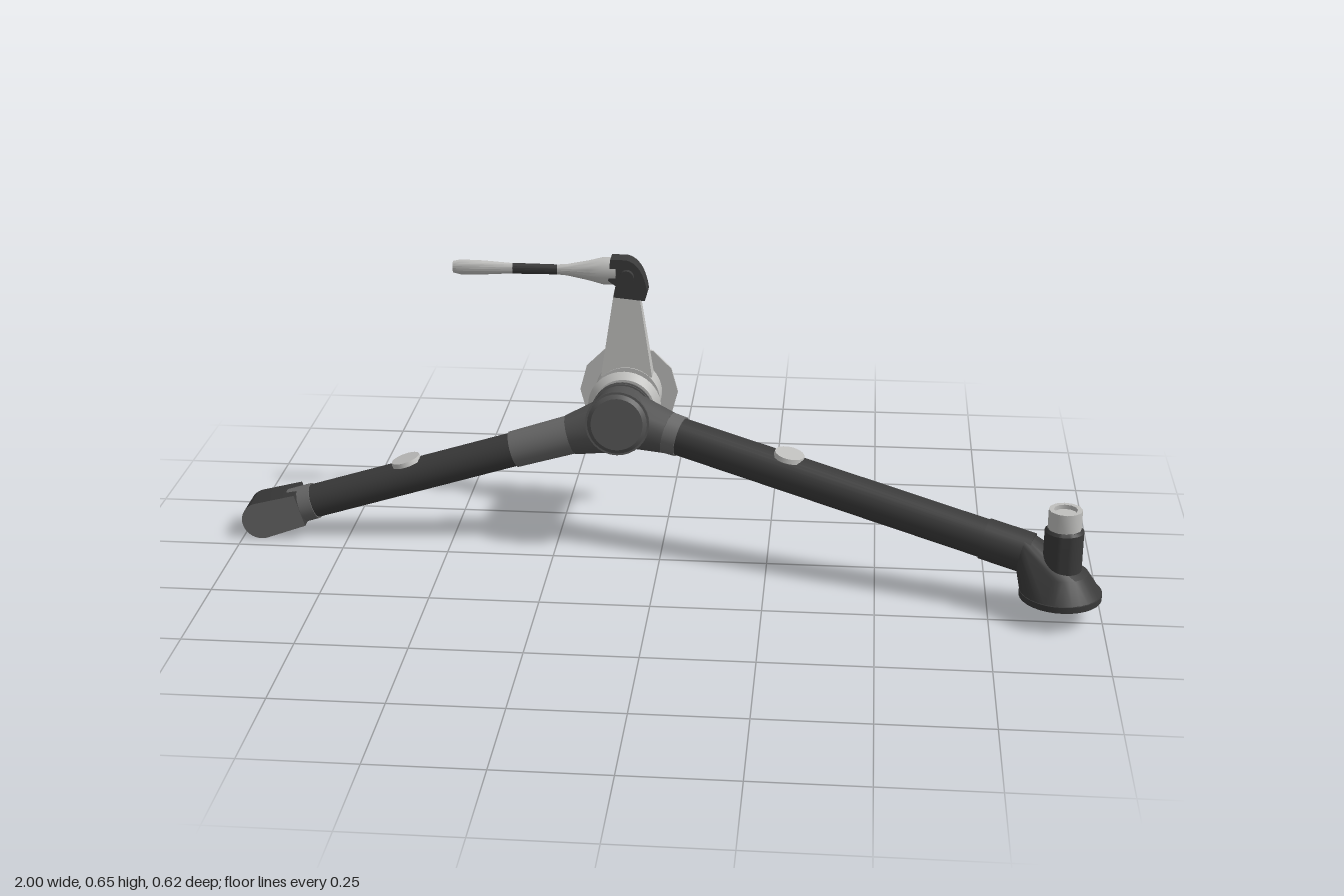
import * as THREE from 'three';
import { toCreasedNormals } from 'three/addons/utils/BufferGeometryUtils.js';
import { ConvexGeometry } from 'three/addons/geometries/ConvexGeometry.js';

const V = (x, y, z) => new THREE.Vector3(x, y, z);
const UP = V(0, 1, 0);

function makeMaterial(name, color) {
  const m = new THREE.MeshStandardMaterial({ color });
  m.name = name;
  return m;
}

export function createModel() {
  const model = new THREE.Group();
  const dark = makeMaterial('charcoal', 0x3a3a3a);
  const graphite = makeMaterial('graphite', 0x525252);
  const mid = makeMaterial('midGrey', 0x686868);
  const light = makeMaterial('lightGrey', 0xc0c0be);

  function add(name, geometry, material, parent = model) {
    const mesh = new THREE.Mesh(geometry, material);
    mesh.name = name;
    parent.add(mesh);
    return mesh;
  }
  // Cylinder or cone running from point a to point b
  function rod(name, a, b, ra, rb, material, sides = 32) {
    const mesh = add(name, new THREE.CylinderGeometry(rb, ra, a.distanceTo(b), sides), material);
    mesh.position.copy(a).lerp(b, 0.5);
    mesh.quaternion.setFromUnitVectors(UP, b.clone().sub(a).normalize());
    return mesh;
  }
  // Turned part with crisp edges, profile given as [radius, height]
  function turned(name, profile, material, sides = 32) {
    const points = profile.map(([r, y]) => new THREE.Vector2(r, y));
    return add(name, toCreasedNormals(new THREE.LatheGeometry(points, sides), 0.6), material);
  }

  // Hub: short drum tilted upward at the front
  const hubFront = V(-0.1, 0.332, -0.012), hubBack = V(-0.1, 0.309, -0.146);
  const hubAxis = hubBack.clone().sub(hubFront).normalize();
  const hubAt = t => hubFront.clone().lerp(hubBack, t);
  const drum = turned('hubDrum', [[0, 0], [0.06, 0], [0.069, 0.008], [0.071, 0.136], [0, 0.136]], graphite);
  drum.position.copy(hubFront);
  drum.quaternion.setFromUnitVectors(UP, hubAxis);
  [[0.08, 0.16], [0.8, 0.87], [0.93, 1]].forEach(([a, b]) =>
    rod('hubRim', hubAt(a), hubAt(b), 0.074, 0.074, graphite));

  // Left-hand and right-hand arm axes
  const rA = V(-0.1, 0.311, -0.085), rB = V(-0.955, 0.047, -0.082);
  const lA = V(-0.09, 0.317, -0.095), lB = V(0.86, 0.127, 0.18);
  const onArm = (a, b, x) => a.clone().lerp(b, (x - a.x) / (b.x - a.x));
  const right = x => onArm(rA, rB, x), left = x => onArm(lA, lB, x);

  rod('rightHubBoss', right(-0.12), right(-0.215), 0.068, 0.048, graphite, 12);
  rod('rightCollar', right(-0.2), right(-0.35), 0.046, 0.043, mid);
  rod('rightTube', right(-0.34), right(-0.88), 0.04, 0.04, dark);
  rod('rightEndCollar', right(-0.83), right(-0.885), 0.043, 0.043, mid);
  rod('leftHubBoss', left(-0.08), left(0.015), 0.068, 0.05, graphite, 12);
  rod('leftCollar', left(0), left(0.045), 0.049, 0.047, mid);
  rod('leftTube', left(0.03), left(0.8), 0.044, 0.044, dark);
  rod('leftEndCollar', left(0.74), left(0.84), 0.047, 0.047, dark);

  // Round buttons on top of the arms
  [[right(-0.595), rB.clone().sub(rA), 0.041], [left(0.29), lB.clone().sub(lA), 0.043]].forEach(([p, d, lift]) => {
    d.normalize();
    const n = UP.clone().addScaledVector(d, -d.y).normalize();
    const c = p.addScaledVector(n, lift);
    rod('armButton', c.clone().addScaledVector(n, -0.006), c.clone().addScaledVector(n, 0.005), 0.036, 0.034, light, 24);
  });

  // Right arm tip: rounded block with dark rim and grey cheeks
  const tip = new THREE.Shape();
  tip.moveTo(0.1, -0.04);
  tip.lineTo(0.1, 0.04);
  tip.lineTo(0, 0.045);
  tip.absarc(0, 0, 0.045, Math.PI / 2, Math.PI * 1.5, false);
  const tipGeometry = new THREE.ExtrudeGeometry(tip, { depth: 0.088, bevelEnabled: false, curveSegments: 16 });
  tipGeometry.translate(0, 0, -0.044);
  const tipMesh = add('rightArmTip', toCreasedNormals(tipGeometry, 0.6), [mid, dark]);
  tipMesh.position.copy(rB);
  tipMesh.rotation.z = Math.atan2(rA.y - rB.y, rA.x - rB.x);

  // Left foot: hollow rim, sloping shroud and upright post
  const foot = V(0.907, 0, 0.22);
  const rim = turned('footRim', [[0.078, 0.066], [0.078, 0.052], [0.091, 0.052], [0.091, 0.066], [0.085, 0.067]], dark);
  rim.position.copy(foot);
  const hull = [];
  const armDir = lB.clone().sub(lA).normalize();
  const side = V(0, 1, 0).cross(armDir).normalize(), over = armDir.clone().cross(side);
  for (let i = 0; i < 28; i++) {
    const a = i / 28 * Math.PI * 2, c = Math.cos(a), s = Math.sin(a);
    hull.push(V(foot.x + 0.09 * c, 0.064, foot.z + 0.09 * s));
    hull.push(V(foot.x + 0.058 * c, 0.112, foot.z + 0.058 * s));
    hull.push(left(0.825).addScaledVector(side, 0.047 * c).addScaledVector(over, 0.047 * s));
  }
  add('footShroud', toCreasedNormals(new ConvexGeometry(hull), 0.5), dark);
  const post = turned('footPost', [[0.043, 0.07], [0.043, 0.21], [0.038, 0.216], [0, 0.216]], dark);
  post.position.copy(foot);
  const cap = turned('postCap', [[0.037, 0.214], [0.037, 0.26], [0.026, 0.26], [0.026, 0.25], [0, 0.25]], light, 12);
  cap.position.copy(foot);

  // Rear coupling: neck, cone flange, hollow sleeve and end flange
  const coupling = new THREE.Group();
  coupling.name = 'rearCoupling';
  coupling.position.set(-0.1, 0.308, 0);
  coupling.rotation.x = -Math.PI / 2;
  model.add(coupling);
  coupling.add(turned('couplingBody', [
    [0.058, 0.125], [0.063, 0.176], [0.073, 0.176], [0.087, 0.194], [0.068, 0.197], [0.067, 0.24],
    [0.08, 0.24], [0.08, 0.3], [0.074, 0.305], [0.062, 0.285], [0.062, 0.215], [0, 0.215]], light, 40));
  coupling.add(turned('endFlange', [
    [0.074, 0.3], [0.118, 0.3], [0.118, 0.307], [0.074, 0.307], [0.074, 0.3]], light, 12));
  const bar = add('crossBar', new THREE.BoxGeometry(0.13, 0.03, 0.022), light, coupling);
  bar.position.y = 0.255;

  // Lever arm: tapered upright
  const upright = new THREE.BoxGeometry(1, 1, 1);
  const pos = upright.attributes.position;
  for (let i = 0; i < pos.count; i++) {
    const top = pos.getY(i) > 0;
    pos.setXYZ(i, pos.getX(i) * (top ? 0.058 : 0.122), top ? 0.575 : 0.365, pos.getZ(i) * (top ? 0.026 : 0.044));
  }
  upright.computeVertexNormals();
  add('leverUpright', upright, light).position.set(-0.1, 0, -0.264);

  // Lever head with cross pin
  const head = new THREE.Shape();
  head.moveTo(-0.13, 0.562);
  head.lineTo(-0.056, 0.555);
  head.lineTo(-0.05, 0.575);
  head.quadraticCurveTo(-0.06, 0.645, -0.1, 0.654);
  head.lineTo(-0.137, 0.654);
  head.lineTo(-0.142, 0.602);
  head.lineTo(-0.125, 0.59);
  const headGeometry = new THREE.ExtrudeGeometry(head, { depth: 0.046, bevelEnabled: false, curveSegments: 8 });
  headGeometry.translate(0, 0, -0.288);
  add('leverHead', toCreasedNormals(headGeometry, 0.5), dark);
  rod('leverPin', V(-0.098, 0.614, -0.298), V(-0.098, 0.614, -0.228), 0.017, 0.017, dark, 20);

  // Handle: flared root, dark grip and light end
  const handle = (name, profile, material) => {
    const mesh = turned(name, profile, material, 20);
    mesh.position.set(-0.1, 0.62, -0.265);
    mesh.rotation.z = Math.PI / 2;
    mesh.scale.z = 0.75;
  };
  handle('handleRoot', [[0, 0.025], [0.033, 0.025], [0.033, 0.055], [0.024, 0.09], [0.014, 0.14], [0.012, 0.165], [0, 0.165]], light);
  handle('handleGrip', [[0.012, 0.16], [0.013, 0.27]], dark);
  handle('handleEnd', [[0, 0.265], [0.012, 0.265], [0.017, 0.34], [0.018, 0.395], [0.014, 0.412], [0, 0.412]], light);

  return model;
}
